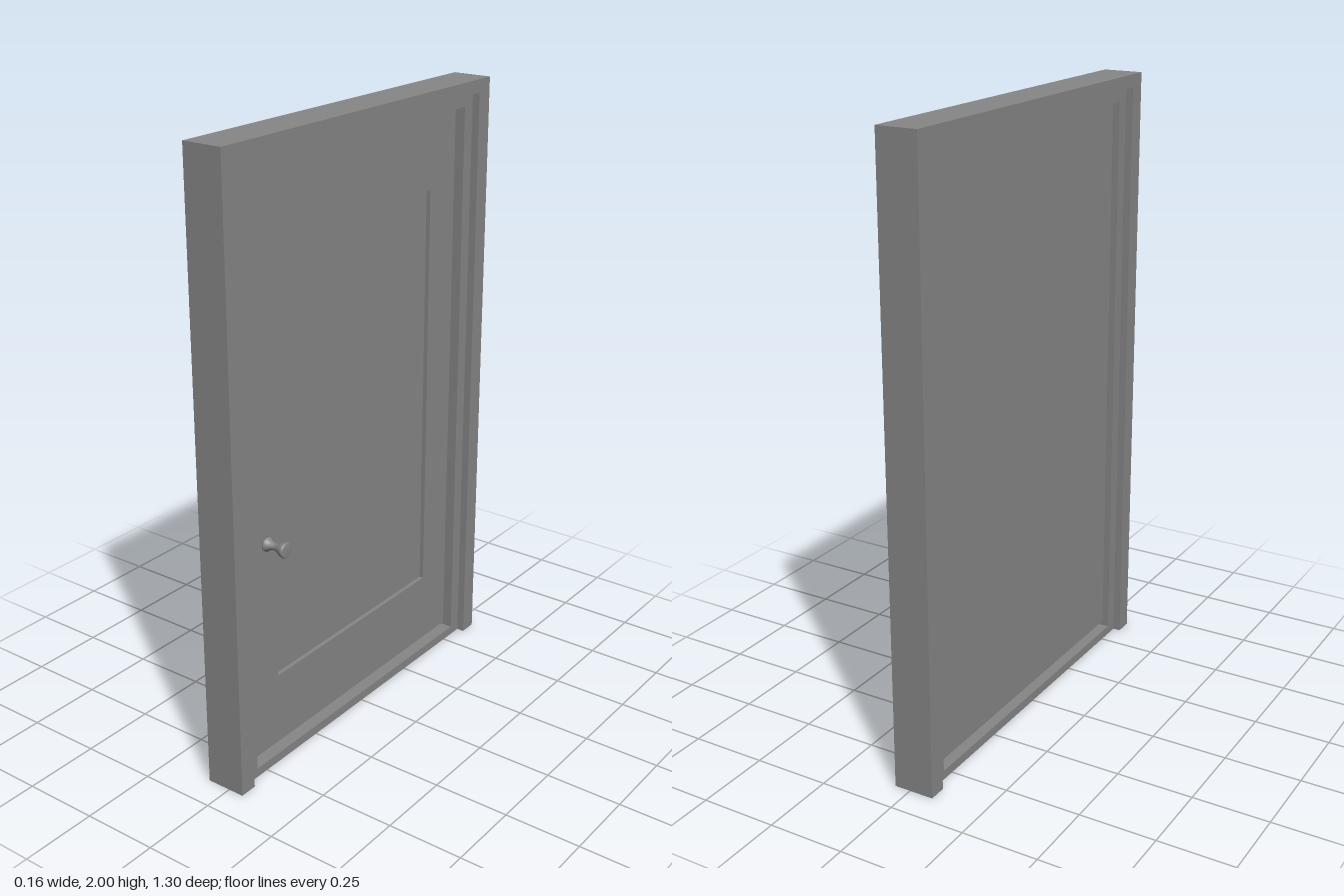
import * as THREE from 'three';

const material = new THREE.MeshStandardMaterial({ color: 0x868686 });

// Outline in the door plane: u runs along -z, v runs up
const outline = (points, Type = THREE.Shape) =>
  new Type(points.map(([u, v]) => new THREE.Vector2(u, v)));
const rect = (u0, u1, v0, v1) => [[u0, v0], [u1, v0], [u1, v1], [u0, v1]];

// Extrudes an outline from x0 to x1, with an optional rectangular hole
function panel(name, points, x0, x1, hole) {
  const shape = outline(points);
  if (hole) shape.holes.push(outline(hole, THREE.Path));
  const geometry = new THREE.ExtrudeGeometry(shape, { depth: x1 - x0, bevelEnabled: false });
  geometry.translate(0, 0, x0).rotateY(Math.PI / 2);
  const mesh = new THREE.Mesh(geometry, material);
  mesh.name = name;
  return mesh;
}

export function createModel() {
  const model = new THREE.Group();
  model.name = 'framedDoor';

  // Outer casing: two jambs and a head, open at the floor
  const casing = [
    [-0.65, 0], [-0.591, 0], [-0.591, 1.957], [0.591, 1.957],
    [0.591, 0], [0.65, 0], [0.65, 2], [-0.65, 2],
  ];
  model.add(panel('outerFrame', casing, -0.08, 0.053));

  // Inner frame with sill, set back from both faces of the casing
  model.add(panel('innerFrame', rect(-0.591, 0.591, 0, 1.957), -0.055, 0.028,
    rect(-0.546, 0.546, 0.03, 1.916)));

  // Door leaf: plain back, raised border around a sunken panel in front
  const door = new THREE.Group();
  door.name = 'door';
  const leaf = rect(-0.546, 0.537, 0.045, 1.916);
  door.add(panel('doorSlab', leaf, -0.032, -0.014));
  door.add(panel('doorBorder', leaf, -0.014, 0, rect(-0.404, 0.4, 0.285, 1.672)));

  // Knob: turned profile flaring at the door and at the tip
  const profile = [
    [0, -0.002], [0.023, -0.002], [0.023, 0.006], [0.017, 0.013], [0.012, 0.024],
    [0.011, 0.036], [0.014, 0.045], [0.019, 0.054], [0.023, 0.064],
    [0.025, 0.071], [0.0245, 0.075], [0.021, 0.078], [0, 0.078],
  ].map(([r, h]) => new THREE.Vector2(r, h));
  const knob = new THREE.Mesh(new THREE.LatheGeometry(profile, 32), material);
  knob.name = 'knob';
  knob.rotation.z = -Math.PI / 2;
  knob.position.set(0, 0.762, 0.443);
  door.add(knob);

  model.add(door);
  return model;
}
